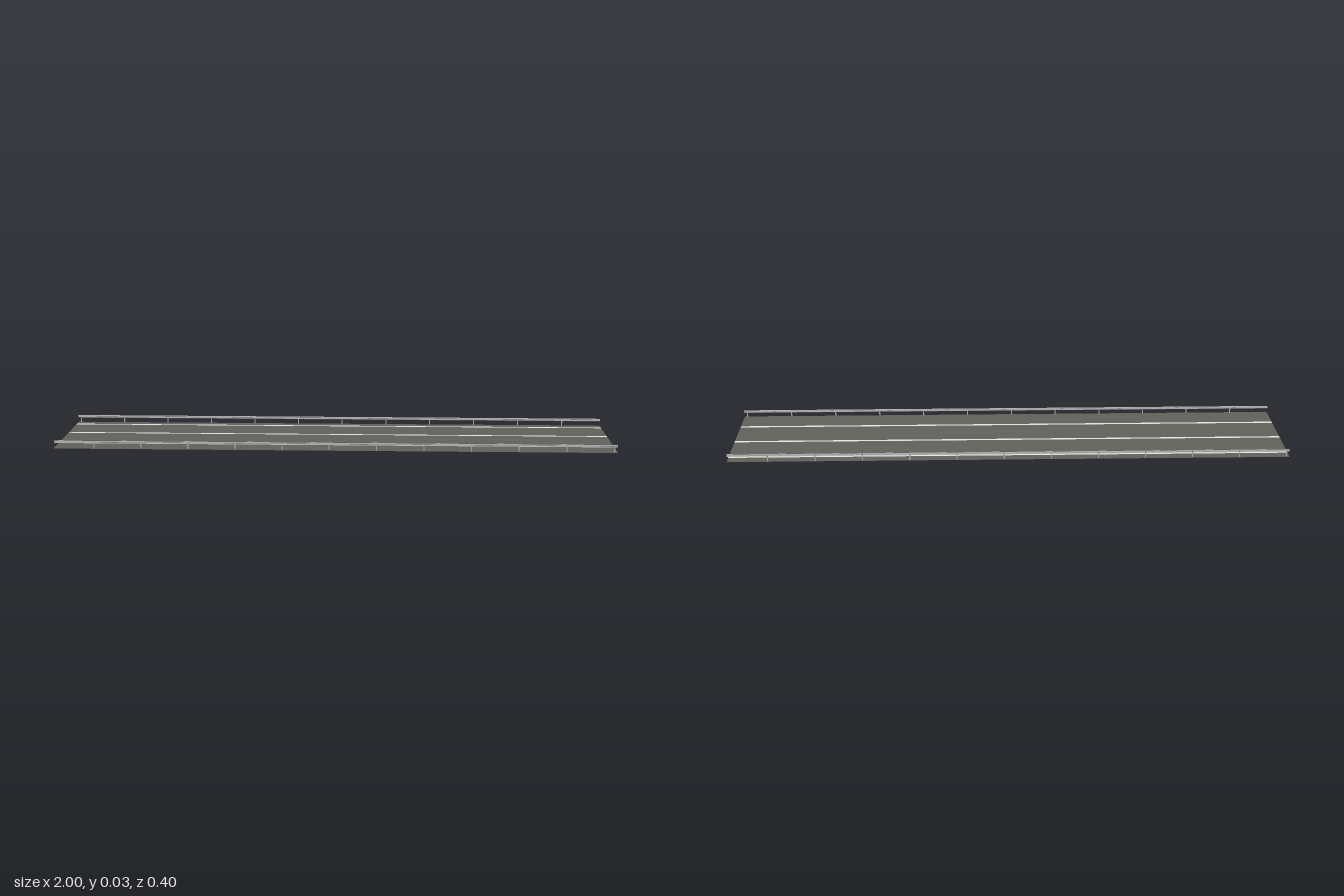
import * as THREE from 'three';

const mat = (name, color) => {
  const m = new THREE.MeshStandardMaterial({ color });
  m.name = name;
  return m;
};

export function createModel() {
  const asphalt = mat('asphalt', 0x62625d);
  const paint = mat('line paint', 0xfafaf6);
  const steel = mat('galvanised steel', 0xa4a4a4);

  const road = new THREE.Group();
  road.name = 'roadSection';

  const box = (name, parent, material, size, pos) => {
    const mesh = new THREE.Mesh(new THREE.BoxGeometry(...size), material);
    mesh.name = name;
    mesh.position.set(...pos);
    parent.add(mesh);
  };

  // Thin road deck
  box('roadDeck', road, asphalt, [2, 0.001, 0.404], [0, 0.0005, 0.001]);

  // Continuous lane lines
  for (const z of [-0.163, -0.03, 0.104]) {
    box('laneLine', road, paint, [2, 0.0004, 0.01], [0, 0.0012, z]);
  }

  // Folded beam section: x runs towards the road, y is height
  const fold = [
    [0.0005, 0.0185], [0.003, 0.0205], [0.003, 0.022], [0.0005, 0.0232],
    [0.0005, 0.0243], [0.003, 0.0255], [0.003, 0.027], [0.0005, 0.0288],
  ];
  const thickness = 0.0006;
  const section = new THREE.Shape([
    ...fold.map(([x, y]) => new THREE.Vector2(x + thickness, y)),
    ...fold.slice().reverse().map(([x, y]) => new THREE.Vector2(x, y)),
  ]);
  const beamGeometry = new THREE.ExtrudeGeometry(section, { depth: 2, bevelEnabled: false });
  beamGeometry.translate(0, 0, -1);
  beamGeometry.rotateY(Math.PI / 2);

  // Guardrail whose road side faces -z; the far one is the same turned round
  const guardrail = (name) => {
    const rail = new THREE.Group();
    rail.name = name;
    const beam = new THREE.Mesh(beamGeometry, steel);
    beam.name = 'railBeam';
    beam.position.z = 0.1975;
    rail.add(beam);
    for (let i = 0; i < 12; i++) {
      const x = -0.856 + i * 0.1677;
      box('railPost', rail, steel, [0.004, 0.026, 0.002], [x, 0.014, 0.198]);
    }
    return rail;
  };
  const front = guardrail('frontGuardrail');
  const back = guardrail('backGuardrail');
  back.rotation.y = Math.PI;
  road.add(front, back);

  return road;
}
